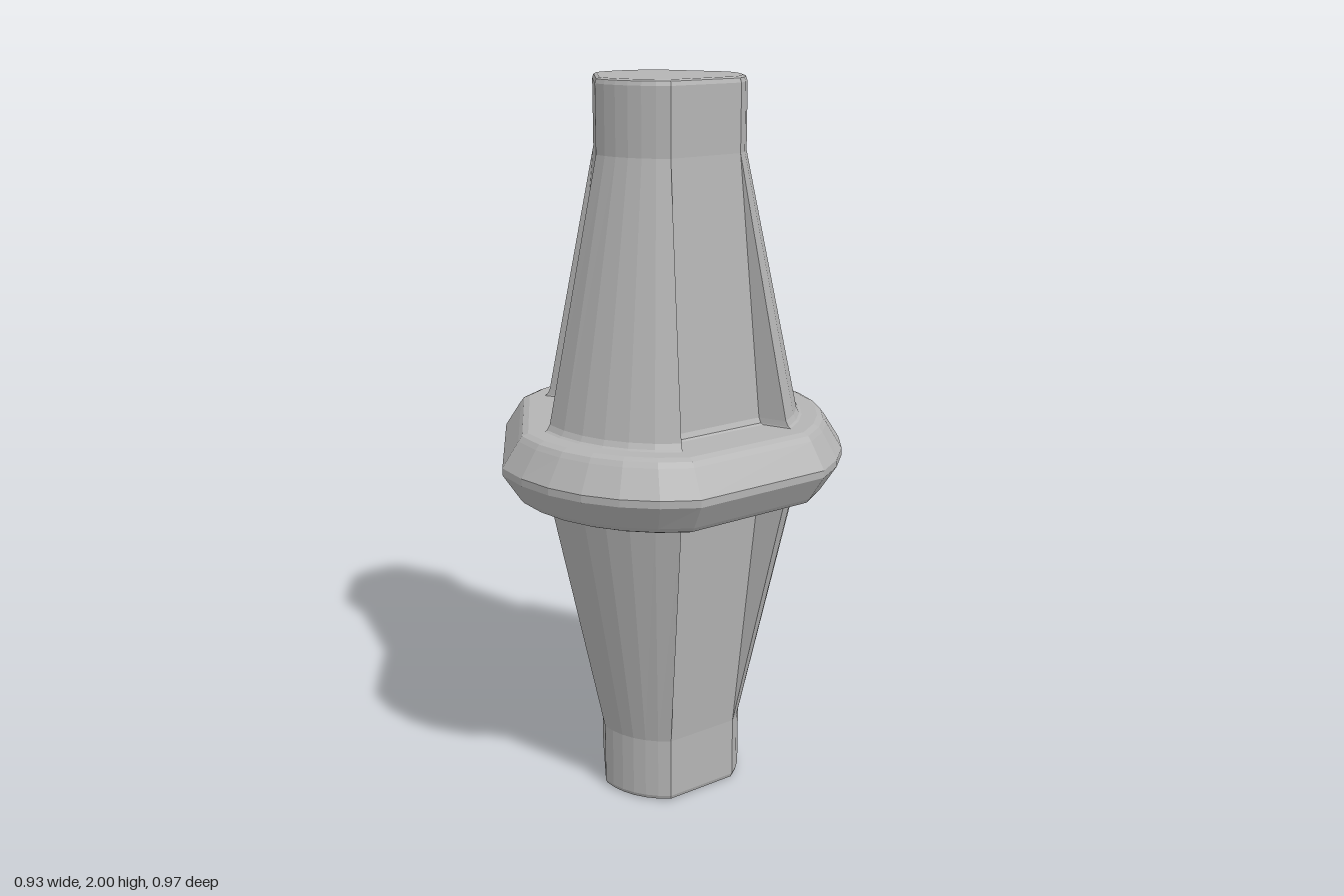
import * as THREE from 'three';

const RAD = Math.PI / 180;
const ARC_STEPS = 6;

// Three-sided rounded section: an arc of radius R (half angle h, degrees) alternates
// with a flat at distance d from the axis, which may be recessed below the arc.
function section({ y, R, h, d }) {
  const points = [];
  const put = (r, deg) => points.push([r * Math.cos(deg * RAD), y, -r * Math.sin(deg * RAD)]);
  const inner = Math.min(R, d / Math.cos((60 - h) * RAD));
  for (let k = 0; k < 3; k++) {
    const mid = k * 120;
    put(inner, mid - h);
    for (let i = 0; i <= ARC_STEPS; i++) put(R, mid - h + (2 * h * i) / ARC_STEPS);
    put(inner, mid + h);
  }
  return points;
}

// Skins rings from bottom to top and closes both ends
function loft(rings) {
  const sections = rings.map(section);
  const n = sections[0].length;
  const pos = sections.flat(2);
  const index = [];
  for (let r = 0; r < sections.length - 1; r++) {
    for (let i = 0; i < n; i++) {
      const a = r * n + i, b = r * n + ((i + 1) % n);
      index.push(a, b, b + n, a, b + n, a + n);
    }
  }
  const last = (sections.length - 1) * n;
  const bottom = pos.length / 3, top = bottom + 1;
  pos.push(0, rings[0].y, 0, 0, rings[rings.length - 1].y, 0);
  for (let i = 0; i < n; i++) {
    const j = (i + 1) % n;
    index.push(bottom, j, i, top, last + i, last + j);
  }
  const geometry = new THREE.BufferGeometry();
  geometry.setAttribute('position', new THREE.Float32BufferAttribute(pos, 3));
  geometry.setIndex(index);
  const flat = geometry.toNonIndexed();
  flat.computeVertexNormals();
  return flat;
}

const flip = (rings) => rings.map((r) => ({ ...r, y: 2 - r.y })).reverse();

export function createModel() {
  const model = new THREE.Group();
  model.name = 'spindle';
  const grey = new THREE.MeshStandardMaterial({ color: 0xb4b4b4 });
  grey.name = 'grey';
  grey.flatShading = true;

  const add = (name, rings) => {
    const mesh = new THREE.Mesh(loft(rings), grey);
    mesh.name = name;
    mesh.position.x = -0.02;
    model.add(mesh);
  };

  // Tapered half: small fillet at the foot, recessed flats, straight neck, rounded end
  const half = [
    { y: 1.05, R: 0.378, h: 32.5, d: 0.265 },
    { y: 1.098, R: 0.378, h: 32.5, d: 0.265 },
    { y: 1.104, R: 0.368, h: 32.2, d: 0.255 },
    { y: 1.118, R: 0.36, h: 32, d: 0.249 },
    { y: 1.81, R: 0.213, h: 29.5, d: 0.184 },
    { y: 1.985, R: 0.213, h: 29.5, d: 0.184 },
    { y: 1.996, R: 0.209, h: 29.5, d: 0.18 },
    { y: 2, R: 0.2, h: 29.5, d: 0.172 },
  ];
  add('upperTaper', half);
  add('lowerTaper', flip(half));

  // Collar: [height above the middle, inset from the widest outline]
  const bevel = [[0.01, 0], [0.08, 0.044], [0.093, 0.054], [0.1, 0.07]];
  const upper = bevel.map(([dy, inset]) => {
    const R = 0.487 - inset, d = 0.445 - inset;
    return { y: 1 + dy, R, d, h: 60 - Math.acos(d / R) / RAD };
  });
  add('collar', [...flip(upper), ...upper]);

  return model;
}
